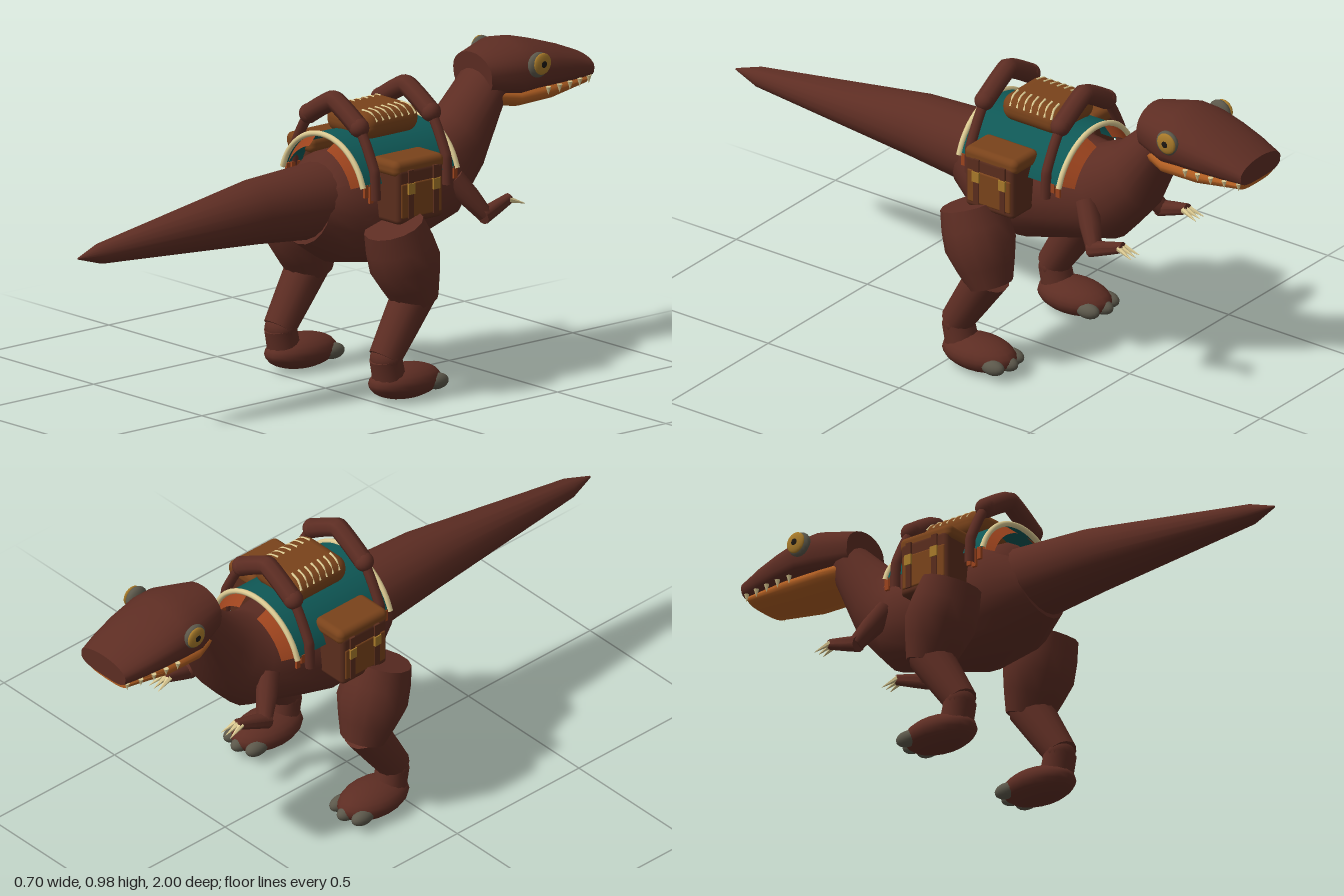
import * as THREE from 'three';
import { toCreasedNormals } from 'three/addons/utils/BufferGeometryUtils.js';
import { RoundedBoxGeometry } from 'three/addons/geometries/RoundedBoxGeometry.js';

const mat = (name, color, side = THREE.FrontSide) => {
  const m = new THREE.MeshStandardMaterial({ color, side });
  m.name = name;
  return m;
};

// Skin through elliptical sections [zTop, yTop, zBottom, yBottom, halfWidth], ordered towards -z.
// A power below 1 makes the lower half of the sections boxier.
function loft(sections, n = 20, power = 1) {
  const pos = [], idx = [];
  for (const [zt, yt, zb, yb, rx] of sections) {
    for (let j = 0; j < n; j++) {
      const t = j / n * Math.PI * 2, p = j > n / 2 ? power : 1;
      const soft = v => Math.sign(v) * Math.abs(v) ** p;
      const s = soft(Math.sin(t));
      pos.push(rx * soft(Math.cos(t)), (yt + yb) / 2 + s * (yt - yb) / 2, (zt + zb) / 2 + s * (zt - zb) / 2);
    }
  }
  const last = (sections.length - 1) * n;
  for (let i = 0; i < last; i += n) {
    for (let j = 0; j < n; j++) {
      const a = i + j, b = i + (j + 1) % n;
      idx.push(a, a + n, b, b, a + n, b + n);
    }
  }
  for (let j = 1; j < n - 1; j++) idx.push(0, j, j + 1, last, last + j + 1, last + j);
  const g = new THREE.BufferGeometry();
  g.setAttribute('position', new THREE.Float32BufferAttribute(pos, 3));
  g.setIndex(idx);
  return toCreasedNormals(g, 0.8);
}

// Closed round limb from a to b with evenly spaced radii
function limb(a, b, radii, sides = 14) {
  const p = new THREE.Vector3(...a), d = new THREE.Vector3(...b).sub(p), len = d.length();
  const pts = [new THREE.Vector2(0, 0)];
  radii.forEach((r, i) => pts.push(new THREE.Vector2(r, len * i / (radii.length - 1))));
  pts.push(new THREE.Vector2(0, len));
  const g = toCreasedNormals(new THREE.LatheGeometry(pts, sides), 0.8);
  g.applyQuaternion(new THREE.Quaternion().setFromUnitVectors(new THREE.Vector3(0, 1, 0), d.normalize()));
  return g.translate(p.x, p.y, p.z);
}

function ball(x, y, z, rx, ry, rz) {
  return new THREE.SphereGeometry(1, 18, 12).scale(rx, ry, rz).translate(x, y, z);
}

// Open shell arched over the back from radius r0 at z0 to r1 at z1, angles measured from straight up
function shell(r0, r1, z0, z1, from, to) {
  return new THREE.CylinderGeometry(r0, r1, z1 - z0, 24, 1, true, from, to - from)
    .rotateX(-Math.PI / 2).translate(0, 0.607, (z0 + z1) / 2);
}

function tube(points, r, tension = 0.2) {
  const curve = new THREE.CatmullRomCurve3(points.map(p => new THREE.Vector3(...p)), false, 'catmullrom', tension);
  return new THREE.TubeGeometry(curve, 32, r, 8);
}

export function createModel() {
  const skin = mat('skin', 0x5d2d23), teal = mat('blanket teal', 0x0f5856, THREE.DoubleSide);
  const orange = mat('jaw orange', 0xb05e22), rust = mat('rust', 0x9c431d, THREE.DoubleSide);
  const leather = mat('leather', 0x7a431b), darkLeather = mat('dark leather', 0x5a2d1d);
  const cream = mat('cream', 0xdcca92), gold = mat('gold', 0xa87a2a);
  const grey = mat('claw grey', 0x5c584b), black = mat('black', 0x1c1712);
  const root = new THREE.Group();
  const add = (name, geo, material) => {
    const m = new THREE.Mesh(geo, material);
    m.name = name;
    root.add(m);
  };

  // Tail, trunk and neck
  add('tail', loft([
    [1, 0.586, 1, 0.58, 0.003], [0.91, 0.616, 0.91, 0.552, 0.032], [0.3, 0.707, 0.3, 0.508, 0.1],
    [0.04, 0.718, 0.04, 0.482, 0.121], [-0.02, 0.718, -0.02, 0.482, 0.121]]), skin);
  add('body', loft([
    [0.05, 0.7, 0.112, 0.475, 0.115], [0.0, 0.745, 0.0, 0.4, 0.165], [-0.15, 0.75, -0.15, 0.375, 0.174],
    [-0.28, 0.75, -0.26, 0.407, 0.165], [-0.375, 0.748, -0.48, 0.465, 0.13], [-0.42, 0.768, -0.54, 0.53, 0.11],
    [-0.47, 0.79, -0.6, 0.6, 0.1], [-0.6, 0.91, -0.68, 0.79, 0.092]]), skin);

  // Head and lower jaw
  add('head', loft([
    [-0.59, 0.957, -0.6, 0.83, 0.09], [-0.71, 0.983, -0.7, 0.815, 0.132], [-0.77, 0.975, -0.77, 0.822, 0.137],
    [-0.85, 0.952, -0.85, 0.822, 0.13], [-0.93, 0.925, -0.93, 0.822, 0.117], [-1, 0.896, -1, 0.822, 0.1]], 24, 0.6), skin);
  add('lowerJaw', loft([
    [-0.61, 0.86, -0.63, 0.79, 0.085], [-0.7, 0.85, -0.7, 0.777, 0.112],
    [-0.83, 0.85, -0.83, 0.78, 0.112], [-0.985, 0.845, -0.985, 0.8, 0.088]], 20, 0.75), orange);

  for (const s of [-1, 1]) {
    const side = s > 0 ? 'left' : 'right';

    // Eye
    add(side + 'EyeSocket', ball(s * 0.132, 0.916, -0.745, 0.02, 0.04, 0.04), grey);
    add(side + 'Iris', ball(s * 0.145, 0.92, -0.75, 0.01, 0.034, 0.034), gold);
    add(side + 'Pupil', ball(s * 0.153, 0.92, -0.75, 0.003, 0.012, 0.012), black);

    // Teeth
    for (let i = 0; i < 5; i++) {
      const t = i / 4;
      add(side + 'Tooth', new THREE.ConeGeometry(0.009, 0.026, 6).rotateX(Math.PI)
        .translate(s * (0.116 - 0.025 * t * t), 0.821, -0.8 - 0.185 * t), cream);
    }

    // Leg
    add(side + 'Thigh', limb([s * 0.235, 0.548, -0.07], [s * 0.243, 0.3, -0.155], [0.094, 0.106, 0.111, 0.092, 0.07]), skin);
    add(side + 'Shin', limb([s * 0.243, 0.33, -0.15], [s * 0.243, 0.14, -0.026], [0.068, 0.06, 0.051]), skin);
    add(side + 'Heel', ball(s * 0.243, 0.138, -0.03, 0.052, 0.045, 0.045), skin);
    add(side + 'Ankle', limb([s * 0.243, 0.14, -0.03], [s * 0.243, 0.05, -0.05], [0.051, 0.052, 0.055]), skin);
    add(side + 'Foot', ball(s * 0.24, 0.056, -0.11, 0.082, 0.054, 0.13), skin);
    for (const dx of [-0.05, 0, 0.05]) {
      add(side + 'ToeClaw', ball(s * 0.24 + dx, 0.048, -0.212 + Math.abs(dx) * 0.3, 0.025, 0.025, 0.042), grey);
    }

    // Arm with three claws
    add(side + 'UpperArm', limb([s * 0.11, 0.61, -0.42], [s * 0.172, 0.495, -0.495], [0.036, 0.034, 0.025], 10), skin);
    add(side + 'Forearm', limb([s * 0.174, 0.492, -0.482], [s * 0.163, 0.528, -0.6], [0.026, 0.022, 0.017], 10), skin);
    for (const dx of [-0.016, 0, 0.016]) {
      add(side + 'HandClaw', limb([s * 0.163 + dx * 0.7, 0.527, -0.59], [s * 0.163 + dx * 1.3, 0.508, -0.645], [0.01, 0.001], 6), cream);
    }

    // Saddlebag with flap, straps and buckles
    add(side + 'Saddlebag', new RoundedBoxGeometry(0.11, 0.175, 0.185, 2, 0.015).translate(s * 0.205, 0.638, -0.16), darkLeather);
    add(side + 'BagFlap', new RoundedBoxGeometry(0.125, 0.05, 0.2, 3, 0.02).translate(s * 0.196, 0.724, -0.16), leather);
    add(side + 'BagPanel', new RoundedBoxGeometry(0.014, 0.11, 0.165, 2, 0.006).translate(s * 0.256, 0.625, -0.16), leather);
    for (const z of [-0.115, -0.215]) {
      add(side + 'BagStrap', new THREE.BoxGeometry(0.01, 0.15, 0.02).translate(s * 0.261, 0.645, z), darkLeather);
      add(side + 'Buckle', new THREE.BoxGeometry(0.012, 0.034, 0.026).translate(s * 0.264, 0.662, z), gold);
    }

    // Rust fringe tapering onto the body past both blanket ends, with hanging tassels
    const arc = s > 0 ? [0.25, 1.22] : [-1.22, -0.25];
    add(side + 'RearFringe', shell(0.19, 0.16, -0.005, 0.03, ...arc), rust);
    add(side + 'FrontFringe', shell(0.16, 0.19, -0.405, -0.365, ...arc), rust);
    [-0.005, -0.025, -0.045, -0.345, -0.365].forEach((z, i) => {
      const drop = [0.04, 0.06, 0.05, 0.03, 0.04][i];
      add(side + 'FringeTassel', new THREE.BoxGeometry(0.009, drop, 0.015).translate(s * 0.18, 0.675 - drop / 2, z), rust);
    });

    // Seat stitching
    for (let i = 0; i < 7; i++) {
      const z = -0.115 - i * 0.026;
      add(side + 'Stitch', tube([[s * 0.1, 0.838, z - 0.006], [s * 0.078, 0.862, z], [s * 0.045, 0.867, z + 0.006]], 0.004), cream);
    }
  }

  // Blanket with cream trim
  add('blanket', shell(0.195, 0.195, -0.37, 0.01, -1.24, 1.24), teal);
  for (const z of [0.01, -0.37]) {
    const arc = [];
    for (let i = 0; i <= 12; i++) {
      const a = -1.26 + 2.52 * i / 12;
      arc.push([0.195 * Math.sin(a), 0.607 + 0.195 * Math.cos(a), z]);
    }
    add('blanketTrim', tube(arc, 0.009, 0.5), cream);
  }

  // Seat, and a padded arch with girth straps at each end
  add('seat', new RoundedBoxGeometry(0.205, 0.09, 0.23, 4, 0.042).translate(0, 0.822, -0.19), leather);
  for (const z of [-0.035, -0.325]) {
    add('saddleArch', tube([[-0.118, 0.836, z], [-0.06, 0.872, z], [0, 0.902, z], [0.06, 0.872, z], [0.118, 0.836, z]], 0.031), skin);
    for (const s of [-1, 1]) {
      add('archEnd', ball(s * 0.116, 0.838, z, 0.031, 0.031, 0.031), skin);
      add('girthStrap', tube([[s * 0.11, 0.85, z], [s * 0.15, 0.785, z], [s * 0.187, 0.71, z], [s * 0.192, 0.625, z]], 0.016), skin);
    }
  }
  return root;
}
